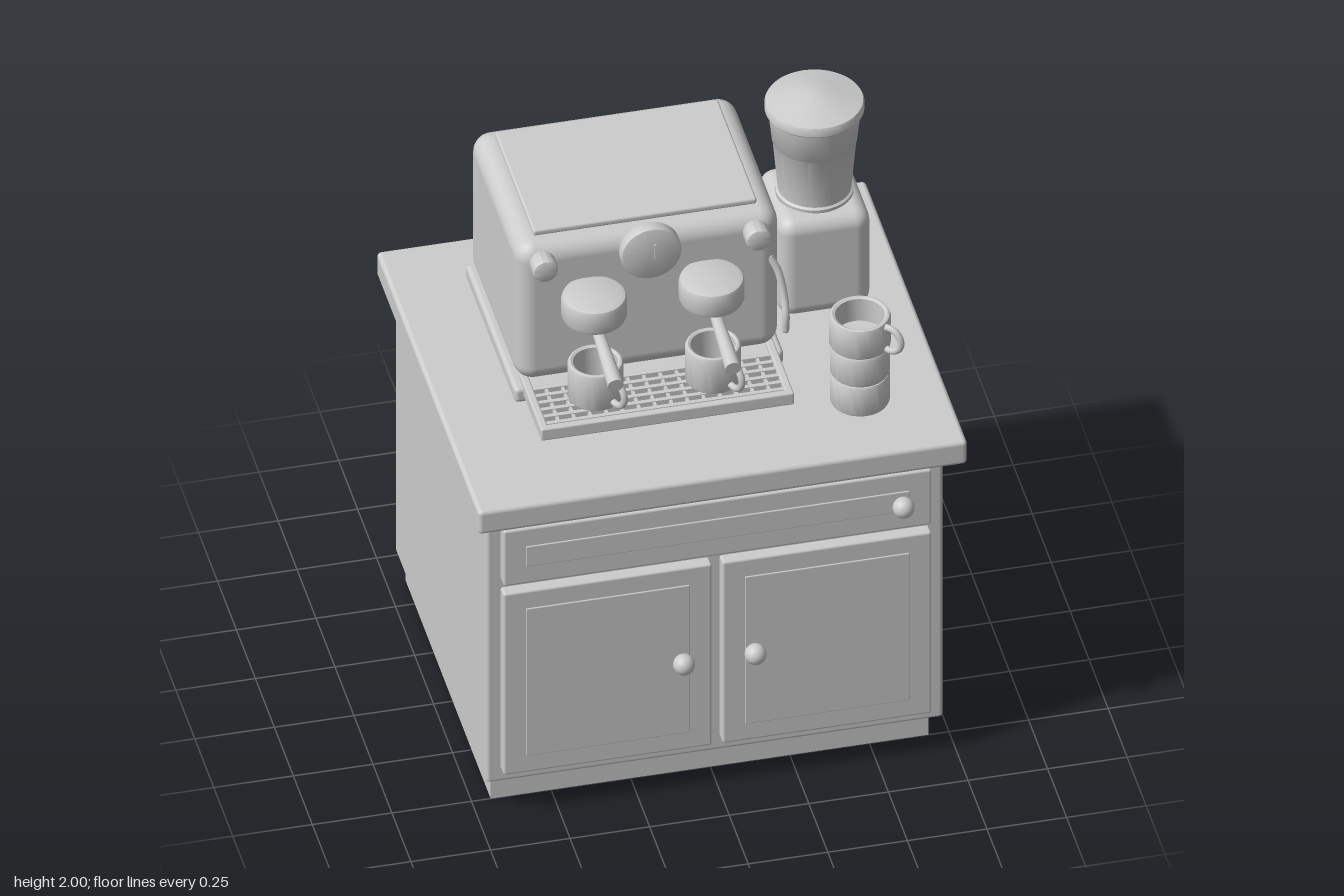
import * as THREE from 'three';
import { toCreasedNormals } from 'three/addons/utils/BufferGeometryUtils.js';
import { RoundedBoxGeometry } from 'three/addons/geometries/RoundedBoxGeometry.js';

export function createModel() {
  const model = new THREE.Group();
  model.name = 'coffeeStation';
  const grey = new THREE.MeshStandardMaterial({ color: 0xcccccc });
  grey.name = 'plainGrey';

  const add = (name, geometry, x = 0, y = 0, z = 0, parent = model) => {
    const mesh = new THREE.Mesh(geometry, grey);
    mesh.name = name;
    mesh.position.set(x, y, z);
    parent.add(mesh);
    return mesh;
  };
  // Box given by its limits, with rounded edges when r > 0
  const box = (name, x0, x1, y0, y1, z0, z1, r = 0, parent = model) => {
    const s = [x1 - x0, y1 - y0, z1 - z0];
    const g = r ? new RoundedBoxGeometry(...s, 4, r) : new THREE.BoxGeometry(...s);
    return add(name, g, (x0 + x1) / 2, (y0 + y1) / 2, (z0 + z1) / 2, parent);
  };
  // Turned shape from [radius, height] pairs, sharp at hard corners
  const turned = (points, segments = 40) => toCreasedNormals(
    new THREE.LatheGeometry(points.map(p => new THREE.Vector2(...p)), segments), 0.7);
  // Disc with softened rims, from height 0 to h
  const disc = (r, h, b) => turned([
    [0, 0], [r - b, 0], [r - b * 0.3, b * 0.3], [r, b],
    [r, h - b], [r - b * 0.3, h - b * 0.3], [r - b, h], [0, h]]);

  // Cabinet
  box('plinth', -0.69, 0.685, 0, 0.12, -0.62, 0.5);
  box('cabinetBody', -0.72, 0.715, 0.115, 1.17, -0.63, 0.57, 0.012);
  box('countertop', -0.77, 0.767, 1.16, 1.25, -0.67, 0.675, 0.015);

  // Drawer and doors, each with a slightly raised panel
  const front = (name, x0, x1, y0, y1, inset) => {
    box(name, x0, x1, y0, y1, 0.56, 0.608, 0.008);
    box(name + 'Panel', x0 + 0.07, x1 - 0.07, y0 + inset, y1 - inset, 0.604, 0.612, 0.003);
  };
  front('drawer', -0.675, 0.67, 0.895, 1.108, 0.068);
  front('rightDoor', -0.675, -0.02, 0.166, 0.866, 0.066);
  front('leftDoor', 0.013, 0.67, 0.166, 0.866, 0.066);
  for (const [name, x, y] of [['drawerKnob', 0.575, 1.0], ['rightDoorKnob', -0.115, 0.518], ['leftDoorKnob', 0.11, 0.518]]) {
    add(name, new THREE.SphereGeometry(0.034, 24, 16), x, y, 0.637);
  }

  // Espresso machine
  const machine = new THREE.Group();
  machine.name = 'espressoMachine';
  model.add(machine);
  box('machineBase', -0.538, 0.308, 1.255, 1.31, -0.473, 0.18, 0.015, machine);
  box('machineBody', -0.528, 0.3, 1.315, 1.84, -0.463, 0.175, 0.06, machine);
  box('cupWarmerTop', -0.466, 0.236, 1.848, 1.87, -0.388, 0.125, 0.008, machine);
  box('cupWarmerRiser', -0.44, 0.21, 1.83, 1.852, -0.36, 0.1, 0, machine);

  // Drip tray with a rim and a grate
  const tx0 = -0.51, tx1 = 0.285, tz0 = 0.12, tz1 = 0.412;
  box('trayFloor', tx0, tx1, 1.28, 1.3, tz0, tz1, 0.006, machine);
  box('trayRimFront', tx0, tx1, 1.285, 1.325, tz1 - 0.025, tz1, 0.006, machine);
  box('trayRimRight', tx0, tx0 + 0.025, 1.285, 1.325, tz0, tz1, 0.006, machine);
  box('trayRimLeft', tx1 - 0.025, tx1, 1.285, 1.325, tz0, tz1, 0.006, machine);
  box('trayFoot', tx0 + 0.03, tx1 - 0.03, 1.25, 1.285, tz0, 0.19, 0, machine);
  for (let i = 0; i < 6; i++) {
    const z = 0.19 + i * 0.035;
    box('grateBar', tx0 + 0.02, tx1 - 0.02, 1.3, 1.318, z, z + 0.014, 0, machine);
  }
  for (let i = 0; i < 14; i++) {
    const x = tx0 + 0.06 + i * 0.051;
    box('grateCrossBar', x, x + 0.01, 1.3, 1.315, 0.18, tz1 - 0.02, 0, machine);
  }

  // Pressure gauge and control knobs on the front
  add('gauge', disc(0.095, 0.045, 0.008), -0.115, 1.783, 0.168, machine).rotation.x = Math.PI / 2;
  box('gaugeNeedle', -0.108, -0.101, 1.765, 1.82, 0.211, 0.218, 0, machine);
  for (const x of [-0.45, 0.22]) {
    add('controlKnob', disc(0.04, 0.065, 0.01), x, 1.783, 0.162, machine).rotation.x = Math.PI / 2;
  }

  // Brew heads with portafilter handles
  for (const x of [-0.307, 0.062]) {
    add('brewHead', disc(0.101, 0.09, 0.016), x, 1.61, 0.258, machine);
    const handle = new THREE.LineCurve3(new THREE.Vector3(x, 1.597, 0.27), new THREE.Vector3(x, 1.558, 0.543));
    const rod = add('portafilterHandle', new THREE.CylinderGeometry(0.025, 0.017, handle.getLength(), 24), 0, 0, 0, machine);
    rod.position.copy(handle.getPoint(0.5));
    rod.quaternion.setFromUnitVectors(new THREE.Vector3(0, 1, 0), handle.getTangent(0));
  }

  // Steam wand
  const wand = new THREE.CatmullRomCurve3([[0.268, 1.665, 0.16], [0.29, 1.62, 0.175], [0.303, 1.54, 0.2],
    [0.303, 1.48, 0.225], [0.301, 1.43, 0.228]].map(p => new THREE.Vector3(...p)));
  add('steamWand', new THREE.TubeGeometry(wand, 32, 0.012, 12), 0, 0, 0, machine);
  for (const t of [0, 1]) {
    add('wandEnd', new THREE.SphereGeometry(0.012, 12, 8), 0, 0, 0, machine).position.copy(wand.getPoint(t));
  }

  // Cups: open lathe shell, plus a loop handle turned to the given angle
  const cup = (name, x, y, z, r, h, angle = null) => {
    const group = new THREE.Group();
    group.name = name;
    group.position.set(x, y, z);
    model.add(group);
    const b = 0.01, w = r * 0.8;
    add('cupShell', turned([[0, 0], [r - b, 0], [r - 0.003, 0.003], [r, b], [r, h - b], [r - 0.004, h - 0.002],
      [r - b, h], [w, h - 0.004], [w, 0.025], [0, 0.02]]), 0, 0, 0, group);
    if (angle === null) return;
    const arm = new THREE.Group();
    arm.rotation.y = angle;
    group.add(arm);
    add('cupHandle', new THREE.TorusGeometry(0.042, 0.011, 12, 28, Math.PI * 1.2)
      .rotateZ(-Math.PI * 0.6), r + 0.012, h * 0.5, 0, arm);
  };
  for (const x of [-0.307, 0.062]) cup('trayCup', x, 1.32, 0.275, 0.086, 0.135, -1.12);
  cup('stackCupBottom', 0.495, 1.25, 0.395, 0.092, 0.112);
  cup('stackCupMiddle', 0.495, 1.362, 0.395, 0.092, 0.109);
  cup('stackCupTop', 0.495, 1.471, 0.395, 0.095, 0.112, -0.8);

  // Grinder with a flared bean hopper and a conical lid
  box('grinderBody', 0.348, 0.638, 1.25, 1.62, -0.352, -0.036, 0.05);
  add('beanHopper', turned([[0, 1.6], [0.112, 1.6], [0.12, 1.615], [0.12, 1.63], [0.113, 1.635],
    [0.129, 1.82], [0.131, 1.822], [0.143, 1.935], [0, 1.935]], 48), 0.493, 0, -0.194);
  add('hopperLid', turned([[0, 1.93], [0.147, 1.93], [0.153, 1.937], [0.153, 1.96], [0.149, 1.967],
    [0.08, 1.985], [0.03, 1.998], [0, 2]], 48), 0.493, 0, -0.194);

  return model;
}
